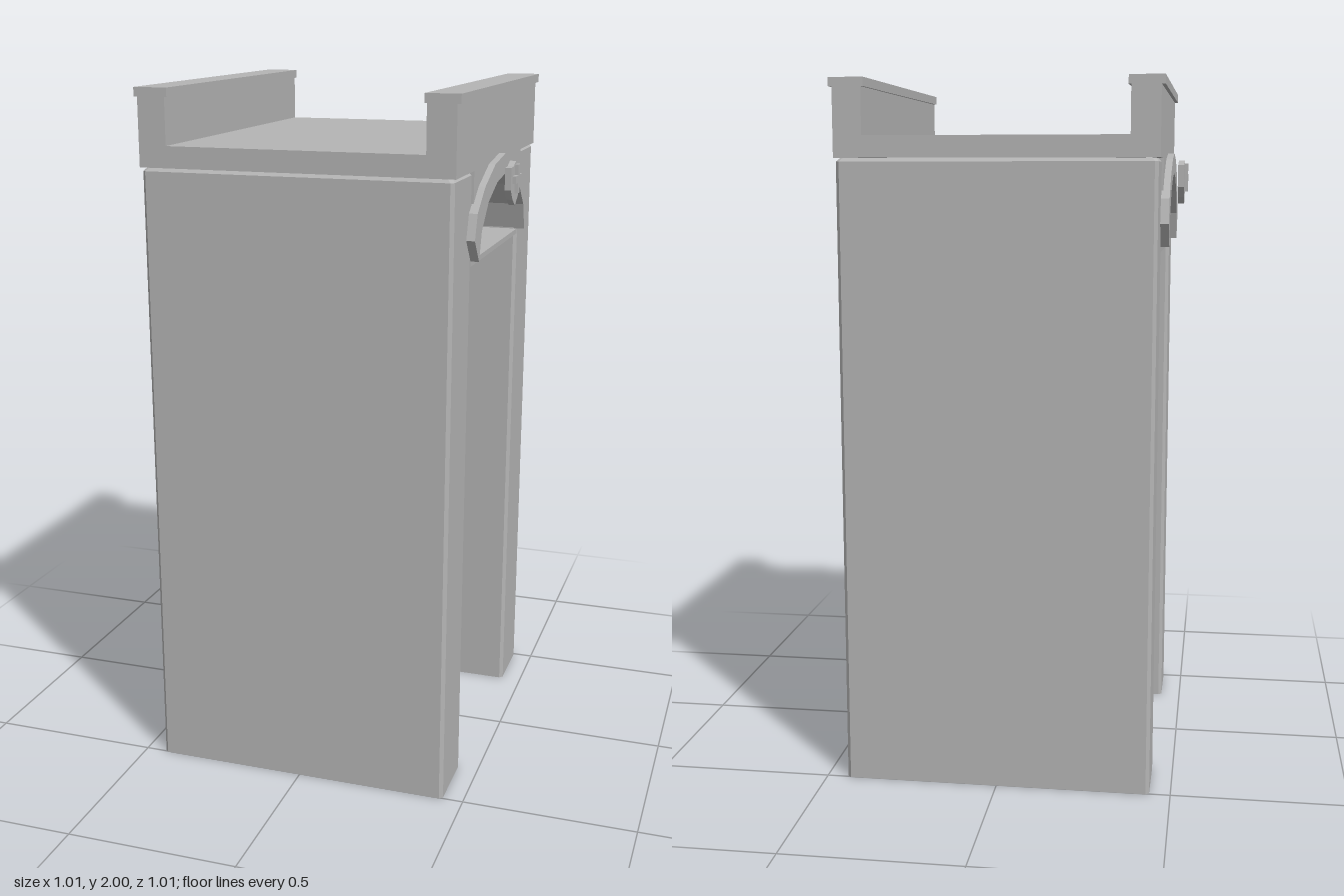
import * as THREE from 'three';

const stone = new THREE.MeshStandardMaterial({ color: 0xb4b4b4, side: THREE.DoubleSide, flatShading: true });
stone.name = 'grey stone';

const shapeOf = (points) => new THREE.Shape(points.map(([a, b]) => new THREE.Vector2(a, b)));
const mirrored = (half) => [...half, ...half.filter(([a]) => a > 0).reverse().map(([a, b]) => [-a, b])];

function part(name, geometry) {
  const mesh = new THREE.Mesh(geometry, stone);
  mesh.name = name;
  return mesh;
}

// Extrude a (z, y) outline sideways, between x0 and x1
function sidePlate(name, points, x0, x1) {
  const g = new THREE.ExtrudeGeometry(shapeOf(points), { depth: x1 - x0, bevelEnabled: false });
  g.translate(0, 0, x0);
  g.rotateY(Math.PI / 2);
  return part(name, g);
}

// Hollow pier with chamfered upright and top edges, open at the bottom
function pierGeometry(w, d, h, c) {
  const ring = (y, inset) => {
    const a = w / 2 - inset, b = d / 2 - inset;
    return [[a - c, b], [a, b - c], [a, c - b], [a - c, -b], [c - a, -b], [-a, c - b], [-a, b - c], [c - a, b]]
      .map(([x, z]) => [x, y, z]);
  };
  const rings = [ring(0, 0), ring(h - c, 0), ring(h, c)];
  const pos = [];
  for (let r = 0; r < 2; r++) {
    for (let i = 0; i < 8; i++) {
      const j = (i + 1) % 8;
      const [p, q, s, t] = [rings[r][i], rings[r][j], rings[r + 1][j], rings[r + 1][i]];
      pos.push(...p, ...s, ...q, ...p, ...t, ...s);
    }
  }
  // Rings run clockwise from above, so reverse each triangle to face outward
  const g = new THREE.BufferGeometry();
  const out = [];
  for (let i = 0; i < pos.length; i += 9) {
    out.push(...pos.slice(i, i + 3), ...pos.slice(i + 6, i + 9), ...pos.slice(i + 3, i + 6));
  }
  g.setAttribute('position', new THREE.Float32BufferAttribute(out, 3));
  g.computeVertexNormals();
  return g;
}

export function createModel() {
  const model = new THREE.Group();
  model.name = 'archedBridge';

  // Piers
  for (const s of [1, -1]) {
    const pier = part(s > 0 ? 'frontPier' : 'backPier', pierGeometry(0.88, 0.2, 1.785, 0.01));
    pier.position.z = s * 0.404;
    model.add(pier);
  }

  // Deck with parapets and their projecting copings
  const deckHalf = [[0.445, 1.785], [0.445, 1.975], [0.455, 1.975], [0.455, 2], [0.358, 2], [0.358, 1.975], [0.365, 1.975], [0.365, 1.845]];
  const deckGeo = new THREE.ExtrudeGeometry(shapeOf(mirrored(deckHalf)), { depth: 1.01, bevelEnabled: false });
  deckGeo.translate(0, 0, -0.505);
  model.add(part('deck', deckGeo));

  // Arch curves as (z, y), from springing to crown
  const inner = [[0.305, 1.54], [0.28, 1.62], [0.205, 1.69], [0.1, 1.732], [0, 1.745]];
  const outer = [[0.36, 1.605], [0.335, 1.675], [0.25, 1.737], [0.13, 1.785], [0, 1.803]];

  // Vault body between the piers
  model.add(sidePlate('vault', [[-0.305, 1.785], [0.305, 1.785], ...mirrored(inner)], -0.445, 0.445));

  // Thin floor across the springing of the vault
  const floor = part('vaultFloor', new THREE.BoxGeometry(0.88, 0.015, 0.61));
  floor.position.y = 1.532;
  model.add(floor);

  // Arch rings, shields and crosses on both sides
  const shield = mirrored([[0, 1.655], [0.035, 1.675], [0.062, 1.705], [0.062, 1.768], [0.03, 1.77], [0, 1.782]]);
  const a = 0.011, b = 0.041, cy = 1.732;
  const cross = [[a, a], [b, a], [b, -a], [a, -a], [a, -b], [-a, -b], [-a, -a], [-b, -a], [-b, a], [-a, a], [-a, b], [a, b]]
    .map(([z, y]) => [z, y + cy]);
  for (const s of [1, -1]) {
    const side = s > 0 ? 'left' : 'right';
    const facing = new THREE.Group();
    facing.name = side + 'Facing';
    facing.add(
      sidePlate(side + 'ArchRing', [...mirrored(outer), ...mirrored(inner).reverse()], 0.44, 0.464),
      sidePlate(side + 'Shield', shield, 0.477, 0.495),
      sidePlate(side + 'Cross', cross, 0.495, 0.505),
    );
    if (s < 0) facing.rotation.y = Math.PI;
    model.add(facing);
  }
  return model;
}
